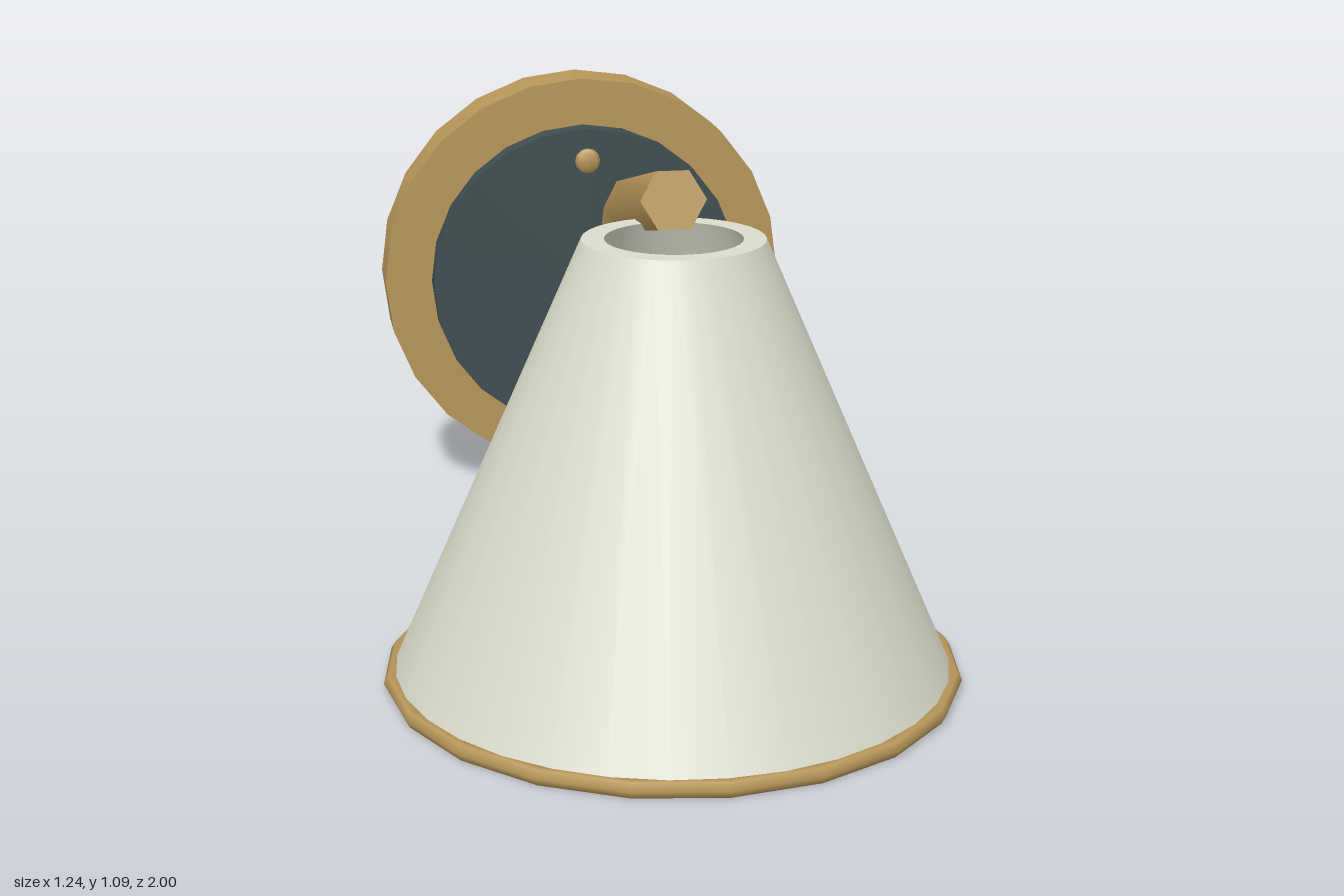
import * as THREE from 'three';
import { toCreasedNormals } from 'three/addons/utils/BufferGeometryUtils.js';

const material = (name, color) => {
  const m = new THREE.MeshStandardMaterial({ color });
  m.name = name;
  return m;
};

// Six-sided rod with capped ends that follows [z, y] points in the plane x = 0
function bentRod(path, radius) {
  const pts = path.map(([z, y]) => new THREE.Vector3(0, y, z));
  const last = pts.length - 1;
  const dir = (i) => pts[i + 1].clone().sub(pts[i]).normalize();
  const rings = pts.map((p, i) => {
    const t = new THREE.Vector3();
    if (i > 0) t.add(dir(i - 1));
    if (i < last) t.add(dir(i));
    t.normalize();
    const side = new THREE.Vector3(1, 0, 0);
    const up = t.clone().cross(side);
    return new THREE.Matrix4().makeBasis(up, t, side).setPosition(p);
  });
  const geo = new THREE.CylinderGeometry(radius, radius, last, 6, last);
  const pos = geo.attributes.position, nor = geo.attributes.normal;
  const v = new THREE.Vector3();
  for (let i = 0; i < pos.count; i++) {
    const ring = rings[Math.round(pos.getY(i) + last / 2)];
    v.set(pos.getX(i), 0, pos.getZ(i)).applyMatrix4(ring);
    pos.setXYZ(i, v.x, v.y, v.z);
    v.fromBufferAttribute(nor, i).transformDirection(ring);
    nor.setXYZ(i, v.x, v.y, v.z);
  }
  return geo;
}

export function createModel() {
  const group = new THREE.Group();
  const brass = material('brass', 0xb8975a);
  const cream = material('cream shade', 0xdcdccd);
  const slate = material('dark slate', 0x3f4e51);
  const glass = material('warm glass', 0xdcc794);

  const add = (name, geo, mat, x, y, z) => {
    const mesh = new THREE.Mesh(geo, mat);
    mesh.name = name;
    mesh.position.set(x, y, z);
    group.add(mesh);
    return mesh;
  };

  const plateY = 0.567, shadeZ = 0.382;

  // Wall plate and dark inset disc
  const disc = (r, depth, segments) =>
    new THREE.CylinderGeometry(r, r, depth, segments).rotateX(Math.PI / 2);
  add('wallPlate', disc(0.507, 0.136, 24), brass, 0, plateY, -0.932);
  add('insetDisc', disc(0.39, 0.062, 24), slate, 0, plateY, -0.835);

  // Screw heads above and below the arm
  for (const s of [1, -1]) {
    const screw = add('screw', new THREE.SphereGeometry(0.032, 8, 6), brass, 0, plateY + s * 0.313, -0.781);
    screw.scale.z = 0.42;
  }

  // Bent arm
  add('arm', bentRod([[-0.772, 0.567], [-0.325, 0.565], [-0.09, 0.92], [0.378, 1.035]], 0.069), brass, 0, 0, 0);

  // Conical shade with a wall thickness, open at both ends
  const profile = [[0.598, 0.02], [0.19, 0.957], [0.143, 0.957], [0.572, 0.02], [0.598, 0.02]]
    .map(([r, y]) => new THREE.Vector2(r, y));
  add('shade', toCreasedNormals(new THREE.LatheGeometry(profile, 32), 0.5), cream, 0, 0, shadeZ);

  // Trim ring around the bottom edge
  add('shadeTrim', new THREE.TorusGeometry(0.599, 0.019, 6, 20).rotateX(Math.PI / 2), brass, 0, 0.0175, shadeZ);

  // Lamp holder and bulb
  add('socket', new THREE.CylinderGeometry(0.104, 0.104, 0.36, 12), brass, 0, 0.66, shadeZ);
  const bulb = add('bulb', new THREE.SphereGeometry(0.16, 16, 12), glass, 0, 0.335, shadeZ);
  bulb.scale.y = 1.28;

  return group;
}
